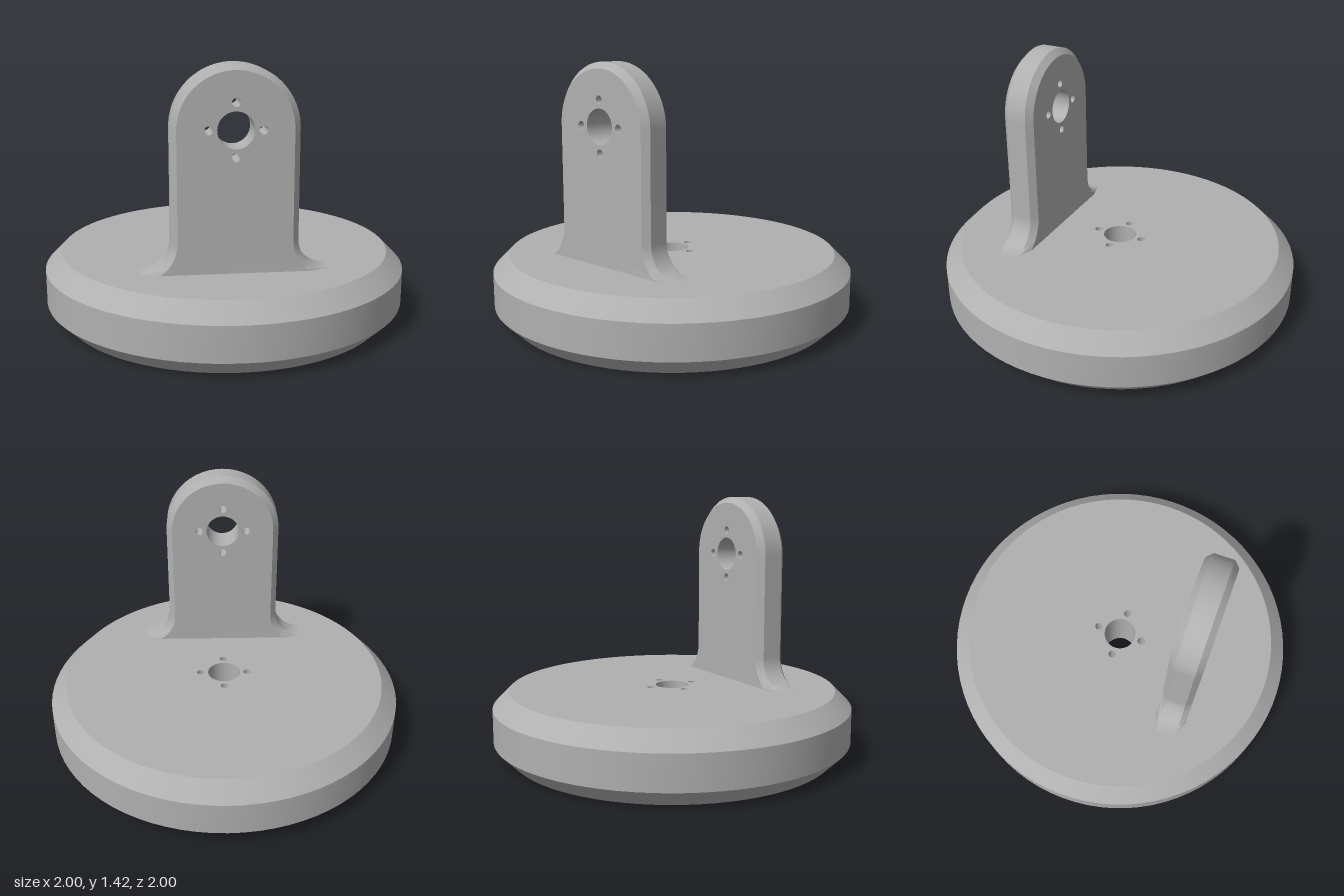
import * as THREE from 'three';
import { mergeGeometries, toCreasedNormals } from 'three/addons/utils/BufferGeometryUtils.js';

const BASE_TOP = 0.365;

// Points along an arc, from angle a0 to a1
function arc(cx, cy, r, a0, a1, n) {
  return Array.from({ length: n + 1 }, (_, i) => {
    const a = a0 + ((a1 - a0) * i) / n;
    return new THREE.Vector2(cx + r * Math.cos(a), cy + r * Math.sin(a));
  });
}

// Wall strip joining rings of { points, z }
function loft(rings) {
  const pos = [];
  for (let k = 0; k < rings.length - 1; k++) {
    const lo = rings[k], hi = rings[k + 1];
    for (let i = 0; i < lo.points.length - 1; i++) {
      const v = (ring, j) => [ring.points[j].x, ring.points[j].y, ring.z];
      const a = v(lo, i), b = v(lo, i + 1), c = v(hi, i + 1), d = v(hi, i);
      pos.push(...a, ...b, ...c, ...a, ...c, ...d);
    }
  }
  return new THREE.BufferGeometry().setAttribute('position', new THREE.Float32BufferAttribute(pos, 3));
}

// Symmetric plate centred on z = 0, with chamfered rim and straight bolt holes
function chamferedPlate(outline, depth, chamfer, holeY) {
  const h = depth / 2;
  const inner = outline(chamfer), outer = outline(0);
  const holes = [arc(0, holeY, 0.093, Math.PI * 2, 0, 48)];
  for (let i = 0; i < 4; i++) {
    const a = (i * Math.PI) / 2;
    holes.push(arc(0.136 * Math.cos(a), holeY + 0.136 * Math.sin(a), 0.022, Math.PI * 2, 0, 20));
  }
  const shape = new THREE.Shape(inner);
  shape.holes = holes.map((p) => new THREE.Path(p));
  const cap = new THREE.ShapeGeometry(shape).toNonIndexed();
  cap.deleteAttribute('uv');
  cap.deleteAttribute('normal');
  const parts = [
    cap.clone().translate(0, 0, h),
    cap.clone().rotateY(Math.PI).translate(0, 0, -h),
    loft([
      { points: inner, z: -h }, { points: outer, z: chamfer - h },
      { points: outer, z: h - chamfer }, { points: inner, z: h },
    ]),
    ...holes.map((points) => loft([{ points, z: -h }, { points, z: h }])),
  ];
  return toCreasedNormals(mergeGeometries(parts), 0.5);
}

// Round base outline
const disc = (inset) => arc(0, 0, 1 - inset, 0, Math.PI * 2, 80);

// Upright outline: flared feet, straight sides, round top
function upright(inset) {
  const r = 0.165 + inset;
  const foot = arc(0.49, BASE_TOP + 0.165, r, Math.PI + Math.asin(0.165 / r), Math.PI, 14);
  const mirrored = foot.map((p) => new THREE.Vector2(-p.x, p.y)).reverse();
  return [...foot, ...arc(0, 1.095, 0.325 - inset, 0, Math.PI, 40), ...mirrored];
}

export function createModel() {
  const model = new THREE.Group();
  model.name = 'mountingStand';
  const grey = new THREE.MeshStandardMaterial({ color: 0xb0b0b0 });
  grey.name = 'grey';

  const base = new THREE.Mesh(chamferedPlate(disc, BASE_TOP, 0.09, 0), grey);
  base.name = 'roundBase';
  base.rotation.x = -Math.PI / 2;
  base.position.y = BASE_TOP / 2;

  const bracket = new THREE.Mesh(chamferedPlate(upright, 0.178, 0.033, 1.095), grey);
  bracket.name = 'uprightBracket';
  bracket.position.z = 0.456;

  model.add(base, bracket);
  return model;
}
